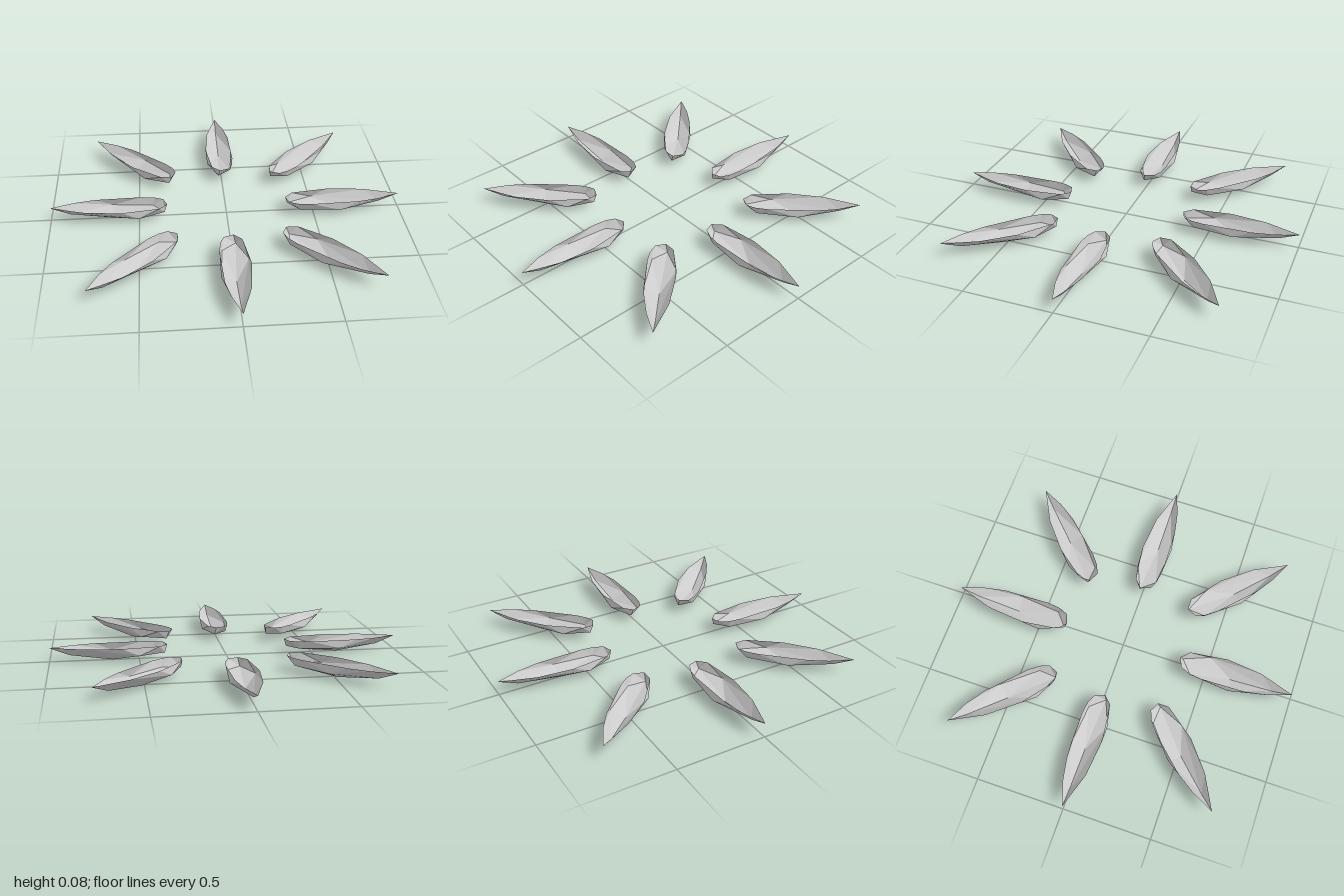
import * as THREE from 'three';

// Petal cross-sections as [outward, sideways] points, starting at the tip
const RIM_Y = 0.08, RING_Y = 0.035;
const rim = [
  [1, 0], [0.87, 0.045], [0.75, 0.068], [0.48, 0.076], [0.41, 0.067],
  [0.36, 0.045], [0.34, -0.01], [0.385, -0.055], [0.6, -0.083], [0.8, -0.063],
];
const ring = [[0.89, 0], [0.65, 0.08], [0.42, 0.057], [0.355, -0.02], [0.5, -0.079]];
const keel = [0.65, 0, 0];

// Faceted open shell: keel point, ring of 5, rim of 10
function petalGeometry() {
  const top = (j) => { const [u, v] = rim[(j + 10) % 10]; return [u, RIM_Y, v]; };
  const low = (i) => { const [u, v] = ring[i % 5]; return [u, RING_Y, v]; };
  const pos = [];
  const tri = (a, b, c) => pos.push(...a, ...b, ...c);
  for (let i = 0; i < 5; i++) {
    tri(keel, low(i), low(i + 1));
    tri(low(i), top(2 * i - 1), top(2 * i));
    tri(low(i), top(2 * i), top(2 * i + 1));
    tri(low(i), top(2 * i + 1), low(i + 1));
  }
  const geometry = new THREE.BufferGeometry();
  geometry.setAttribute('position', new THREE.Float32BufferAttribute(pos, 3));
  geometry.computeVertexNormals();
  return geometry;
}

export function createModel() {
  const model = new THREE.Group();
  model.name = 'petalRing';
  const geometry = petalGeometry();
  const material = new THREE.MeshStandardMaterial({
    color: 0xcccccc, flatShading: true, side: THREE.DoubleSide,
  });
  // Eight petals; the diagonal ones sit slightly further out
  for (let k = 0; k < 8; k++) {
    const angle = k * Math.PI / 4;
    const shift = k % 2 ? 0.08 : 0;
    const petal = new THREE.Mesh(geometry, material);
    petal.name = 'petal' + (k + 1);
    petal.rotation.y = angle;
    petal.position.set(shift * Math.cos(angle), 0, -shift * Math.sin(angle));
    model.add(petal);
  }
  return model;
}
